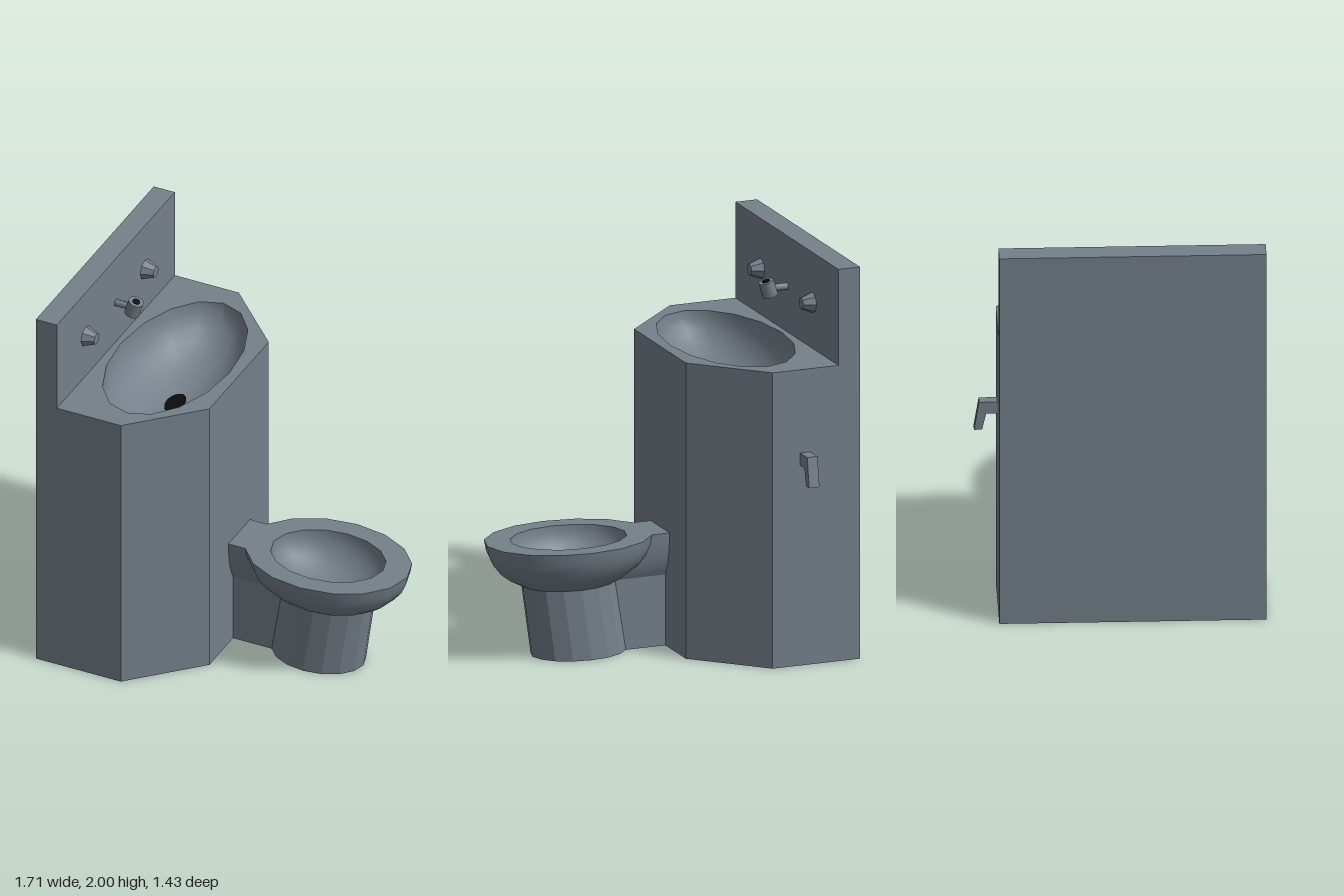
import * as THREE from 'three';
import { toCreasedNormals } from 'three/addons/utils/BufferGeometryUtils.js';

const CZ = 0.057; // centre line of the unit
const STEP = Math.PI / 8;

const steel = new THREE.MeshStandardMaterial({ color: 0x75808a });
steel.name = 'steel';
const black = new THREE.MeshStandardMaterial({ color: 0x0c0c0c });
black.name = 'drainBlack';

// Loops are [x, z] points, counter-clockwise seen from above
function ellipse(cx, rx, rz) {
  return Array.from({ length: 16 }, (_, k) => [cx + rx * Math.cos(k * STEP), CZ - rz * Math.sin(k * STEP)]);
}

// Ellipse whose back is drawn out into a neck that meets the cabinet
function neckedEllipse(cx, rx, rz) {
  const loop = [];
  for (let k = -7; k <= 7; k++) loop.push([cx + rx * Math.cos(k * STEP), CZ - rz * Math.sin(k * STEP)]);
  loop.push([-0.075, loop[14][1]], [-0.075, loop[0][1]]);
  return loop;
}

// Wall through [y, loop] levels, listed from the bottom up
function loft(levels, crease) {
  const n = levels[0][1].length;
  const pos = levels.flatMap(([y, loop]) => loop.flatMap(([x, z]) => [x, y, z]));
  const index = [];
  for (let l = 0; l < levels.length - 1; l++) {
    for (let i = 0; i < n; i++) {
      const a = l * n + i, b = l * n + (i + 1) % n;
      index.push(a, b, b + n, a, b + n, a + n);
    }
  }
  const g = new THREE.BufferGeometry();
  g.setAttribute('position', new THREE.Float32BufferAttribute(pos, 3));
  g.setIndex(index);
  return toCreasedNormals(g, crease);
}

// Flat horizontal face, with an optional hole
function plate(loop, y, hole, down = false) {
  const pts = (l) => l.map(([x, z]) => new THREE.Vector2(x, down ? z : -z));
  const shape = new THREE.Shape(pts(loop));
  if (hole) shape.holes.push(new THREE.Path(pts(hole)));
  return new THREE.ShapeGeometry(shape).rotateX(down ? Math.PI / 2 : -Math.PI / 2).translate(0, y, 0);
}

// Hollow half ellipsoid seen from above
function hollow(cx, y, rx, depth, rz) {
  const g = new THREE.SphereGeometry(1, 16, 10, 0, Math.PI * 2, 0, Math.PI / 2);
  // the negative height turns the faces inward
  g.scale(rx, -depth, rz).translate(cx, y, CZ);
  return toCreasedNormals(g, 0.7);
}

function drain(cx, y, rx, rz) {
  return new THREE.CylinderGeometry(1, 1, 0.006, 24).scale(rx, 1, rz).translate(cx, y, CZ);
}

export function createModel() {
  const model = new THREE.Group();
  model.name = 'sinkToiletUnit';
  const add = (parent, name, geometry, material = steel) => {
    const mesh = new THREE.Mesh(geometry, material);
    mesh.name = name;
    parent.add(mesh);
    return mesh;
  };
  const group = (name) => {
    const g = new THREE.Group();
    g.name = name;
    model.add(g);
    return g;
  };

  // Cabinet with chamfered front corners and a sunken basin
  const cabinet = group('cabinet');
  const plan = [[-0.86, 0.713], [-0.395, 0.713], [-0.07, 0.388], [-0.07, -0.272], [-0.395, -0.6], [-0.86, -0.6]];
  add(cabinet, 'cabinetWalls', loft([[0, plan], [1.51, plan]], 0.1));
  add(cabinet, 'cabinetBottom', plate(plan, 0, null, true));
  add(cabinet, 'cabinetTop', plate(plan, 1.51, ellipse(-0.42, 0.297, 0.54)));
  add(cabinet, 'basin', hollow(-0.42, 1.51, 0.297, 0.27, 0.54));
  add(cabinet, 'basinDrain', drain(-0.42, 1.246, 0.045, 0.08), black);
  add(cabinet, 'backsplash', new THREE.BoxGeometry(0.115, 0.49, 1.313).translate(-0.8025, 1.755, 0.0565));

  // Toilet: leaning pedestal, rounded bowl and flat rim
  const toilet = group('toilet');
  const foot = neckedEllipse(0.366, 0.244, 0.175);
  const waist = neckedEllipse(0.42, 0.24, 0.175);
  add(toilet, 'pedestal', loft([[0, foot], [0.362, waist]], 0.1));
  add(toilet, 'pedestalBottom', plate(foot, 0, null, true));
  const profile = [[0.362, 0.24, 0.175], [0.395, 0.305, 0.222], [0.435, 0.357, 0.261], [0.485, 0.397, 0.291],
    [0.535, 0.42, 0.308], [0.588, 0.43, 0.316]];
  add(toilet, 'bowl', loft(profile.map(([y, rx, rz]) => [y, neckedEllipse(0.42, rx, rz)]), 0.65));
  add(toilet, 'rim', plate(neckedEllipse(0.42, 0.43, 0.316), 0.588, ellipse(0.418, 0.298, 0.217)));
  add(toilet, 'bowlInside', hollow(0.418, 0.588, 0.298, 0.19, 0.217));
  add(toilet, 'bowlDrain', drain(0.418, 0.404, 0.055, 0.04), black);

  // Tapered octagonal tap knobs
  for (const z of [0.392, -0.268]) {
    const knob = new THREE.CylinderGeometry(0.03, 0.053, 0.06, 8).rotateZ(-Math.PI / 2);
    add(model, 'tapKnob', toCreasedNormals(knob, 0.1).translate(-0.715, 1.745, z));
  }

  // Spout: short arm with a tilted nozzle
  const spout = group('spout');
  add(spout, 'spoutArm', new THREE.CylinderGeometry(0.018, 0.018, 0.09, 8).rotateZ(Math.PI / 2).translate(-0.705, 1.742, CZ));
  const nozzle = new THREE.Group();
  nozzle.name = 'nozzle';
  nozzle.position.set(-0.645, 1.742, CZ);
  nozzle.rotation.z = -0.3;
  spout.add(nozzle);
  add(nozzle, 'nozzleBody', new THREE.CylinderGeometry(0.039, 0.039, 0.078, 12));
  add(nozzle, 'nozzleOpening', new THREE.CylinderGeometry(0.02, 0.02, 0.004, 12).translate(0, 0.04, 0), black);

  // Flush lever on the side: outline in z and y, extruded along x
  const outline = [[-0.6, 1.085], [-0.69, 1.085], [-0.715, 0.935], [-0.675, 0.935], [-0.655, 1.022], [-0.6, 1.022]];
  const lever = new THREE.Shape(outline.map(([z, y]) => new THREE.Vector2(-z, y)));
  add(model, 'flushLever', new THREE.ExtrudeGeometry(lever, { depth: 0.055, bevelEnabled: false })
    .rotateY(Math.PI / 2).translate(-0.596, 0, 0));

  return model;
}
